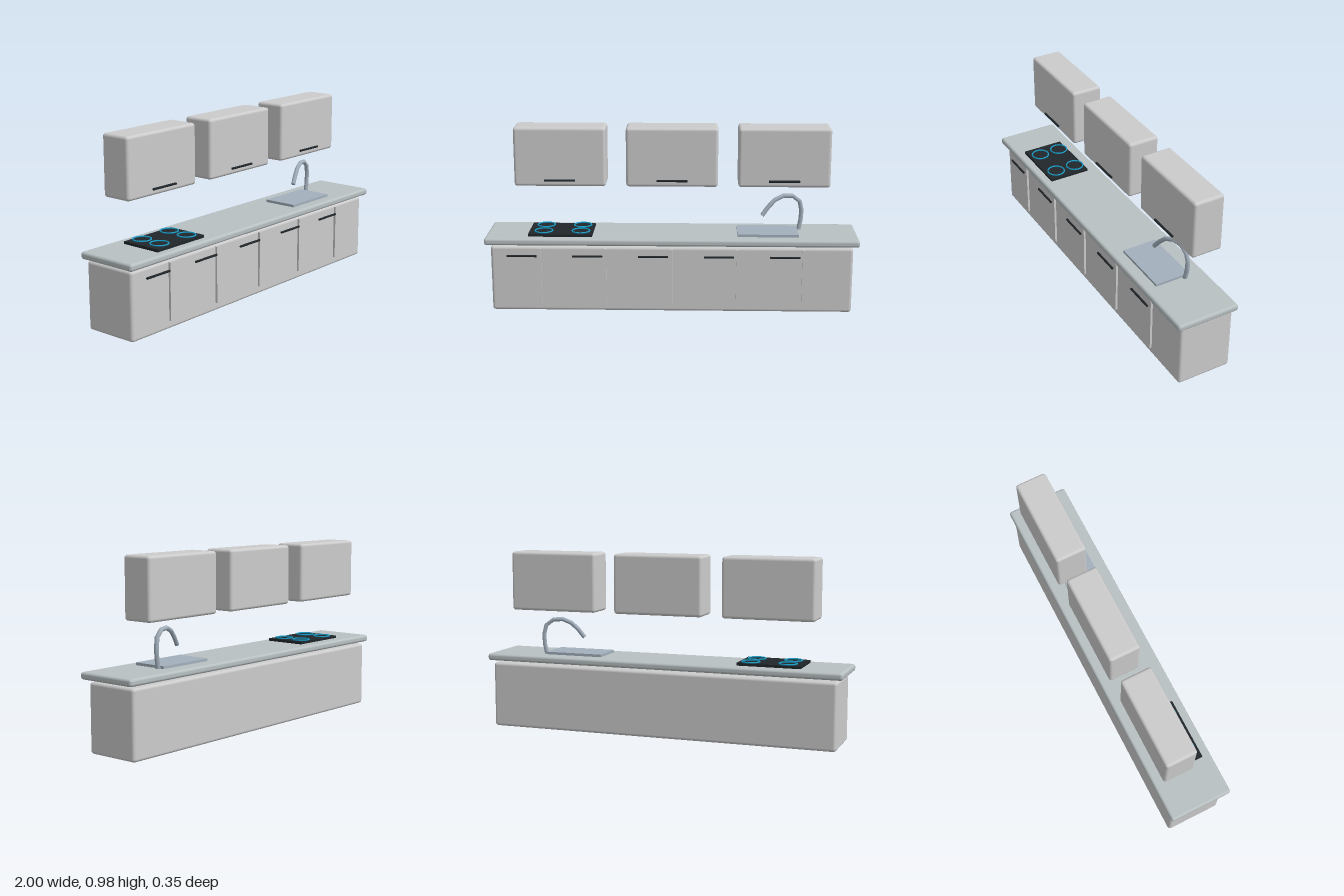
import * as THREE from 'three';
import { RoundedBoxGeometry } from 'three/addons/geometries/RoundedBoxGeometry.js';

const mat = (color) => new THREE.MeshStandardMaterial({ color });

export function createModel() {
  const kitchen = new THREE.Group();
  kitchen.name = 'kitchen';
  const grey = mat(0xcccccc);
  const stone = mat(0xb8c0c2);
  const dark = mat(0x20262a);
  const blue = mat(0x1a9cc8);
  const steel = mat(0xa3b0bd);

  const add = (name, geometry, material, x, y, z) => {
    const mesh = new THREE.Mesh(geometry, material);
    mesh.name = name;
    mesh.position.set(x, y, z);
    kitchen.add(mesh);
    return mesh;
  };
  // Box given by its extents, with softened edges when r > 0
  const box = (name, material, [x0, x1], [y0, y1], [z0, z1], r = 0) => {
    const size = [x1 - x0, y1 - y0, z1 - z0];
    const geometry = r ? new RoundedBoxGeometry(...size, 3, r) : new THREE.BoxGeometry(...size);
    return add(name, geometry, material, (x0 + x1) / 2, (y0 + y1) / 2, (z0 + z1) / 2);
  };
  // Horizontal bar handle
  const handle = (name, length, x, y, z) => {
    add(name, new THREE.CylinderGeometry(0.006, 0.006, length, 10), dark, x, y, z).rotation.z = Math.PI / 2;
  };

  // Base unit and worktop
  box('baseCabinet', grey, [-0.97, 0.97], [0, 0.36], [-0.161, 0.143], 0.016);
  box('worktop', stone, [-1, 1], [0.372, 0.41], [-0.174, 0.174], 0.014);

  // Door dividers and door handles
  for (let i = 0; i < 5; i++) {
    const x = (i - 2) * 0.352;
    box('doorDivider', grey, [x - 0.005, x + 0.005], [0.045, 0.35], [0.14, 0.155]);
    handle('doorHandle', 0.16, x - 0.097, 0.312, 0.162);
  }

  // Wall cabinets with handles
  for (const x of [-0.603, 0, 0.603]) {
    box('wallCabinet', grey, [x - 0.247, x + 0.247], [0.66, 0.981], [-0.156, 0.016], 0.016);
    handle('wallCabinetHandle', 0.165, x, 0.696, 0.026);
  }

  // Hob with four rings
  box('hob', dark, [-0.768, -0.425], [0.409, 0.424], [-0.104, 0.127]);
  for (const x of [-0.69, -0.49]) {
    for (const z of [0.065, -0.055]) {
      add('hobRing', new THREE.TorusGeometry(0.047, 0.004, 8, 32), blue, x, 0.428, z).rotation.x = Math.PI / 2;
    }
  }

  // Sink plate and arched tap
  box('sink', steel, [0.353, 0.68], [0.409, 0.424], [-0.084, 0.108]);
  const path = new THREE.CatmullRomCurve3([
    [0.69, 0.41, -0.056], [0.705, 0.51, -0.06], [0.683, 0.585, -0.052],
    [0.618, 0.606, -0.037], [0.55, 0.58, -0.017], [0.487, 0.503, 0.004],
  ].map((p) => new THREE.Vector3(...p)));
  add('tap', new THREE.TubeGeometry(path, 8, 0.012, 8), steel, 0, 0, 0);
  // Closed tip of the spout
  const tip = add('tapTip', new THREE.CircleGeometry(0.012, 8), steel, ...path.getPoint(1).toArray());
  tip.lookAt(tip.position.clone().add(path.getTangent(1)));

  return kitchen;
}
